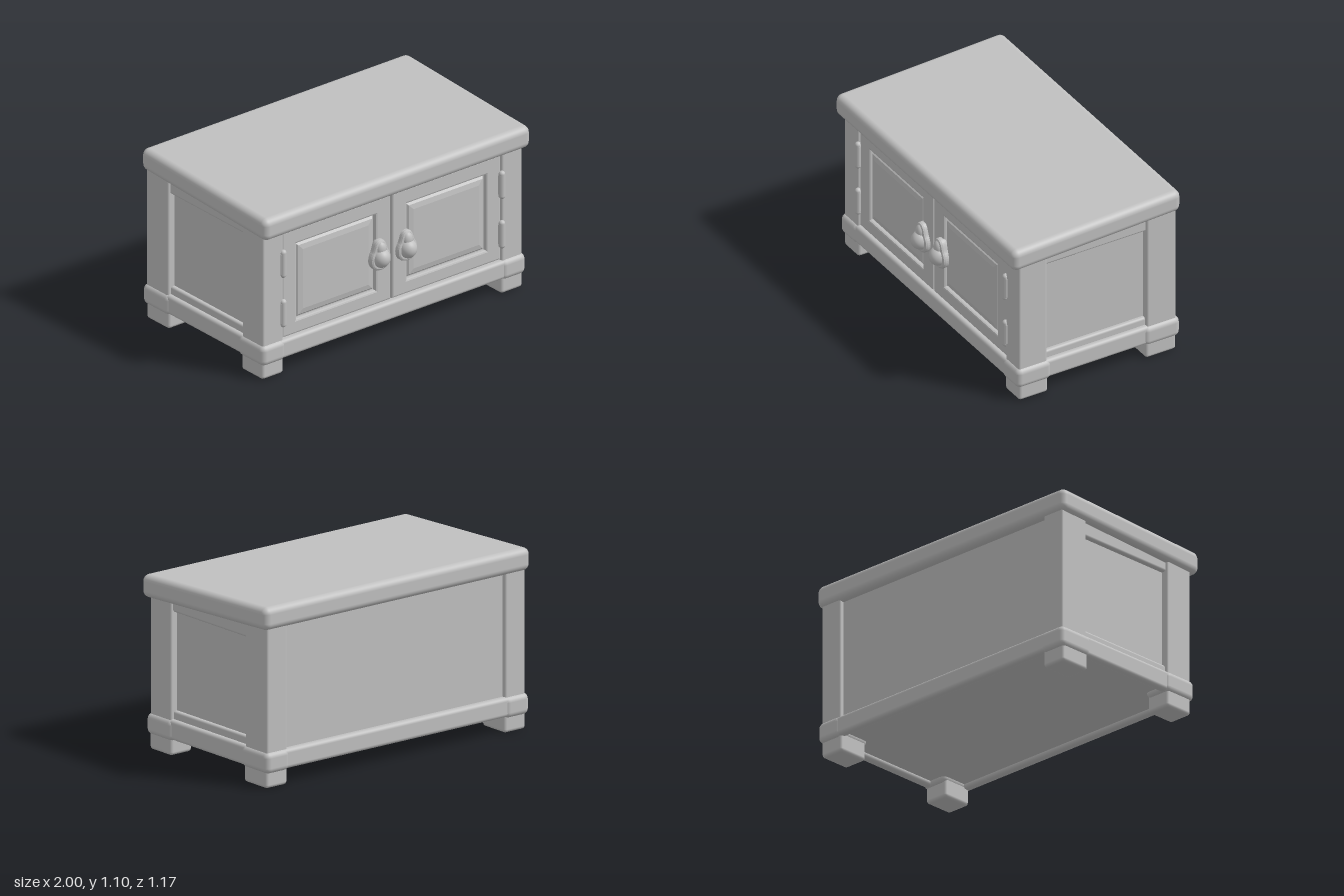
import * as THREE from 'three';
import { RoundedBoxGeometry } from 'three/addons/geometries/RoundedBoxGeometry.js';

const grey = new THREE.MeshStandardMaterial({ color: 0xc0c0c0 });
grey.name = 'plain grey';

export function createModel() {
  const model = new THREE.Group();
  model.name = 'cabinet';

  const add = (name, geometry, parent = model) => {
    const mesh = new THREE.Mesh(geometry, grey);
    mesh.name = name;
    parent.add(mesh);
    return mesh;
  };

  // Soft-edged block given by its extents on each axis
  const block = (name, [x0, x1], [y0, y1], [z0, z1], r = 0.01, parent = model) => {
    const g = new RoundedBoxGeometry(x1 - x0, y1 - y0, z1 - z0, 3, r);
    g.translate((x0 + x1) / 2, (y0 + y1) / 2, (z0 + z1) / 2);
    return add(name, g, parent);
  };

  const rect = (Type, x0, x1, y0, y1) => new Type([
    new THREE.Vector2(x0, y0), new THREE.Vector2(x1, y0),
    new THREE.Vector2(x1, y1), new THREE.Vector2(x0, y1),
  ]);

  // Plate with a chamfered front edge, its front face at z
  const plate = (name, shape, z, depth, bevel, run, parent) => {
    const g = new THREE.ExtrudeGeometry(shape, {
      depth, bevelThickness: bevel, bevelSize: run, bevelOffset: -run, bevelSegments: 2,
    });
    g.translate(0, 0, z - depth - bevel);
    return add(name, g, parent);
  };

  // Lid, rising gently towards the back
  const lid = new RoundedBoxGeometry(2, 0.14, 1.145, 5, 0.042);
  const p = lid.attributes.position;
  for (let i = 0; i < p.count; i++) p.setY(i, p.getY(i) - p.getZ(i) * 0.041);
  lid.translate(0, 1.008, -0.008);
  add('lid', lid);

  // Carcass: floor, back panel, inner front and base rails
  block('floor', [-0.95, 0.95], [0.125, 0.2], [-0.54, 0.49], 0.005);
  block('backPanel', [-0.84, 0.84], [0.2, 0.99], [-0.533, -0.5], 0.005);
  block('frontBacking', [-0.84, 0.84], [0.19, 0.96], [0.42, 0.468], 0.005);
  block('frontRail', [-0.86, 0.86], [0.1, 0.218], [0.465, 0.525], 0.022);
  block('backRail', [-0.86, 0.86], [0.1, 0.22], [-0.574, -0.515], 0.024);
  block('frontTopRail', [-0.83, 0.83], [0.9, 0.96], [0.44, 0.49], 0.005);

  for (const s of [-1, 1]) {
    const side = new THREE.Group();
    side.name = s > 0 ? 'leftSide' : 'rightSide';
    model.add(side);
    const span = (a, b) => (s > 0 ? [a, b] : [-b, -a]);

    // Corner posts, base collars and feet
    for (const [end, post, collar, foot] of [
      ['front', [0.32, 0.512], [0.295, 0.532], [0.315, 0.512]],
      ['back', [-0.56, -0.36], [-0.58, -0.335], [-0.558, -0.35]],
    ]) {
      block(end + 'Post', span(0.82, 0.972), [0.15, 0.985], post, 0.014, side);
      block(end + 'Collar', span(0.81, 0.99), [0.092, 0.222], collar, 0.035, side);
      block(end + 'Foot', span(0.815, 0.976), [0.002, 0.15], foot, 0.02, side);
    }

    // Side panel within its rails
    block('sidePanel', span(0.88, 0.925), [0.19, 0.97], [-0.38, 0.34], 0.005, side);
    block('sideBaseRail', span(0.92, 0.98), [0.1, 0.222], [-0.38, 0.34], 0.022, side);
    block('sideLowerTrim', span(0.89, 0.95), [0.2, 0.27], [-0.37, 0.33], 0.015, side);
    block('sideUpperRail', span(0.89, 0.955), [0.87, 0.98], [-0.37, 0.33], 0.015, side);

    // Door frame, sunken panel and raised field
    const door = new THREE.Group();
    door.name = s > 0 ? 'leftDoor' : 'rightDoor';
    model.add(door);
    const frame = rect(THREE.Shape, ...span(0.005, 0.818), 0.222, 0.905);
    frame.holes.push(rect(THREE.Path, ...span(0.117, 0.712), 0.312, 0.802));
    plate('doorFrame', frame, 0.502, 0.025, 0.012, 0.012, door);
    block('doorPanel', span(0.09, 0.74), [0.29, 0.83], [0.445, 0.474], 0.005, door);
    plate('raisedField', rect(THREE.Shape, ...span(0.125, 0.704), 0.32, 0.794),
      0.497, 0.006, 0.02, 0.045, door);

    // Hinges: leaf and barrel
    for (const y of [0.39, 0.71]) {
      block('hingeLeaf', span(0.8, 0.842), [y - 0.07, y + 0.07], [0.49, 0.522], 0.008, door);
      const barrel = add('hingeBarrel', new THREE.CapsuleGeometry(0.02, 0.14, 5, 14), door);
      barrel.position.set(s * 0.82, y, 0.511);
    }

    // Pear-shaped knob: backplate and round grip
    const knob = new THREE.Group();
    knob.name = 'knob';
    knob.position.set(s * 0.1, 0.53, 0.5);
    door.add(knob);
    const pear = new THREE.Shape();
    pear.moveTo(0, -0.08);
    pear.bezierCurveTo(0.065, -0.08, 0.09, -0.015, 0.06, 0.035);
    pear.bezierCurveTo(0.04, 0.06, 0.045, 0.115, 0, 0.115);
    pear.bezierCurveTo(-0.045, 0.115, -0.04, 0.06, -0.06, 0.035);
    pear.bezierCurveTo(-0.09, -0.015, -0.065, -0.08, 0, -0.08);
    plate('knobPlate', pear, 0.035, 0.02, 0.015, 0.012, knob);
    const grip = add('knobGrip', new THREE.SphereGeometry(1, 28, 18), knob);
    grip.scale.set(0.055, 0.06, 0.06);
    grip.position.z = 0.026;
    const tip = add('knobTip', new THREE.SphereGeometry(1, 20, 14), knob);
    tip.scale.set(0.034, 0.05, 0.03);
    tip.position.set(0, 0.055, 0.026);
  }
  return model;
}
